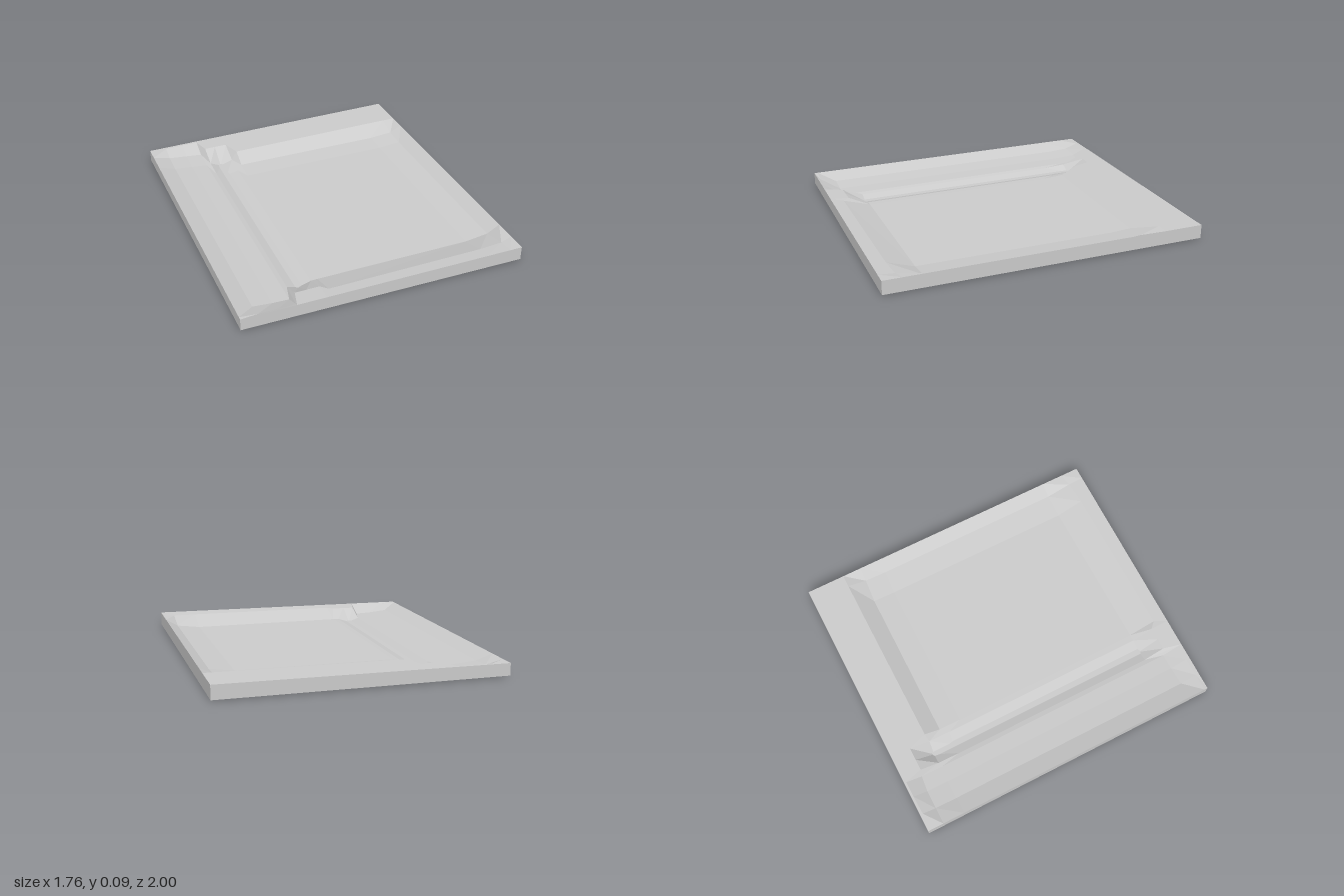
import * as THREE from 'three';

const BASE = 0.006;

// Cross-sections along x: [x, floor height, back wall top z, back wall foot z, front slope foot z, front slope top z]
const SECTIONS = [
  [-0.88, null, -0.96, -0.88, 0.86, 0.96],
  [-0.77, 0.045, -0.965, -0.88, 0.86, 0.965],
  [-0.65, 0.034, -0.97, -0.88, 0.86, 0.965],
  [-0.55, 0.03, -0.97, -0.87, 0.86, 0.965],
  [-0.52, 0.024, -0.86, -0.74, 0.74, 0.87],
  [-0.45, 0.0, -0.86, -0.74, 0.74, 0.87],
  [-0.37, 0.024, -0.86, -0.73, 0.74, 0.87],
  [-0.33, 0.025, -0.74, -0.64, 0.74, 0.91],
  [0.65, 0.026, -0.75, -0.64, 0.74, 0.91],
  [0.8, 0.045, -0.75, -0.63, 0.74, 0.9],
  [0.88, null, -0.75, -0.63, 0.74, 0.88],
];

// One column of surface points, running from back to front
function column([x, floor, wallTop, wallFoot, slopeFoot, slopeTop]) {
  const t = (x + 0.88) / 1.76;
  const rim = 0.081 + 0.011 * t;
  const edge = 0.982 + 0.018 * t;
  const low = floor ?? rim;
  const deep = floor !== null && floor > 0.01;
  return [
    [x, rim, -edge],
    [x, rim, wallTop],
    [x, deep ? low + 0.008 : low, wallFoot],
    [x, low, wallFoot + 0.14],
    [x, low, slopeFoot],
    [x, floor === null ? rim : rim - 0.008, slopeTop],
    [x, rim, edge],
  ];
}

// Flat-shaded mesh from rows of points
function gridMesh(name, rows) {
  const n = rows[0].length;
  const index = [];
  for (let i = 0; i < rows.length - 1; i++) {
    for (let j = 0; j < n - 1; j++) {
      const a = i * n + j, b = a + n;
      index.push(a, a + 1, b, b, a + 1, b + 1);
    }
  }
  const indexed = new THREE.BufferGeometry();
  indexed.setAttribute('position', new THREE.Float32BufferAttribute(rows.flat(2), 3));
  indexed.setIndex(index);
  const geometry = indexed.toNonIndexed();
  geometry.computeVertexNormals();
  const material = new THREE.MeshStandardMaterial({
    color: 0xcccccc, flatShading: true, side: THREE.DoubleSide,
  });
  const mesh = new THREE.Mesh(geometry, material);
  mesh.name = name;
  return mesh;
}

export function createModel() {
  const group = new THREE.Group();
  group.name = 'recessedSlab';

  // Sunken top with its side channel and narrow groove
  const columns = SECTIONS.map(column);
  group.add(gridMesh('recessedTop', columns));

  // Outer walls following the rim
  const first = columns[0], last = columns[columns.length - 1];
  const rim = [
    ...first,
    ...columns.slice(1).map((c) => c[c.length - 1]),
    ...last.slice(0, -1).reverse(),
    ...columns.slice(0, -1).reverse().map((c) => c[0]),
  ];
  const drop = ([x, , z]) => [x, BASE, z];
  group.add(gridMesh('sideWalls', rim.map((p) => [drop(p), p]).reverse()));

  // Flat underside, pierced slightly by the groove
  const corners = [last, first].map((c) => [drop(c[0]), drop(c[c.length - 1])]);
  group.add(gridMesh('underside', corners));

  return group;
}
